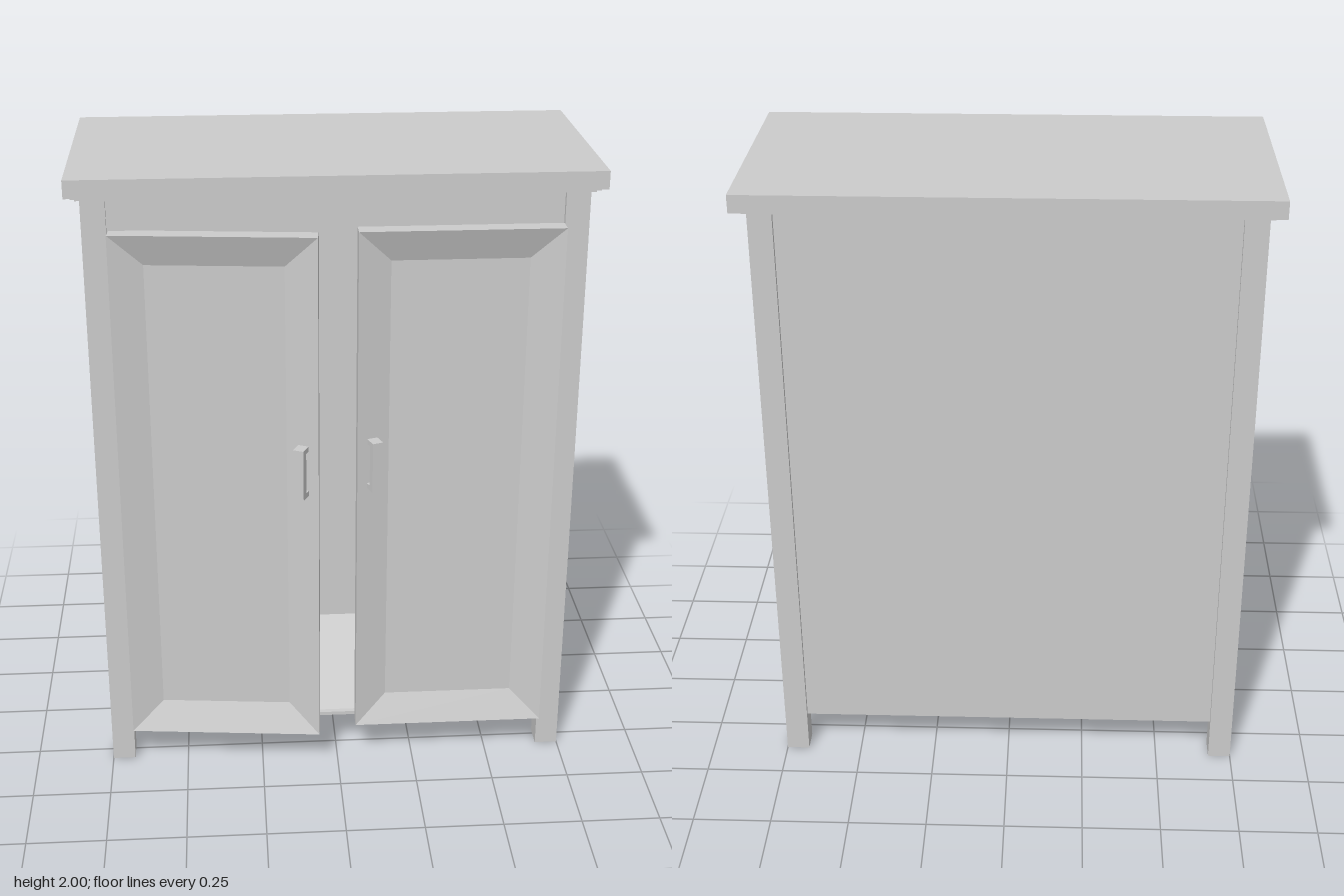
import * as THREE from 'three';

const material = new THREE.MeshStandardMaterial({ color: 0xcccccc, flatShading: true });

// Box given by its min and max corners
function box(name, x0, x1, y0, y1, z0, z1) {
  const mesh = new THREE.Mesh(new THREE.BoxGeometry(x1 - x0, y1 - y0, z1 - z0), material);
  mesh.name = name;
  mesh.position.set((x0 + x1) / 2, (y0 + y1) / 2, (z0 + z1) / 2);
  return mesh;
}

// Slab whose front face is dished by a sloping border; front rim lies at z = 0
function dishedPanel(w, h, thickness, border, depth) {
  const ring = (inset, z) => [[-1, -1], [1, -1], [1, 1], [-1, 1]]
    .map(([sx, sy]) => [sx * (w / 2 - inset), sy * (h / 2 - inset), z]);
  const rings = [ring(0, -thickness), ring(0, 0), ring(border, -depth)];
  const pts = [];
  const quad = (a, b, c, d) => pts.push(...a, ...b, ...c, ...a, ...c, ...d);
  for (let r = 0; r < 2; r++) {
    for (let i = 0; i < 4; i++) {
      const j = (i + 1) % 4;
      quad(rings[r][i], rings[r][j], rings[r + 1][j], rings[r + 1][i]);
    }
  }
  quad(...rings[2]);
  quad(...[...rings[0]].reverse());
  const geo = new THREE.BufferGeometry();
  geo.setAttribute('position', new THREE.Float32BufferAttribute(pts, 3));
  geo.computeVertexNormals();
  return geo;
}

// C-shaped pull: a bar on two feet, standing on z = 0
function createHandle() {
  const handle = new THREE.Group();
  handle.name = 'handle';
  handle.add(box('handleBar', -0.017, 0.017, -0.083, 0.083, 0.02, 0.042));
  for (const s of [-1, 1]) {
    const y = s * 0.075;
    handle.add(box('handleFoot', -0.017, 0.017, y - 0.008, y + 0.008, -0.005, 0.021));
  }
  return handle;
}

// Door hinged at its outer edge; side is +1 for the model's left
function createDoor(side, hingeZ, angle) {
  const w = 0.617, h = 1.705, border = 0.1, depth = 0.036;
  const door = new THREE.Group();
  door.name = side > 0 ? 'leftDoor' : 'rightDoor';
  const panel = new THREE.Mesh(dishedPanel(w, h, 0.055, border, depth), material);
  panel.name = 'doorPanel';
  panel.position.x = -side * w / 2;
  door.add(panel);
  // Handle sits square on the sloping border beside the free edge
  const handle = createHandle();
  const inset = 0.047;
  handle.position.set(-side * (w - inset), 0.102, -depth * inset / border);
  handle.rotation.y = side * Math.atan2(depth, border);
  door.add(handle);
  door.position.set(side * 0.677, 0.978, hingeZ);
  door.rotation.y = side * angle;
  return door;
}

export function createModel() {
  const model = new THREE.Group();
  model.name = 'cabinet';

  // Top board with stepped moulding below
  model.add(
    box('topBoard', -0.793, 0.793, 1.945, 2, -0.425, 0.348),
    box('upperMoulding', -0.775, 0.775, 1.937, 1.945, -0.405, 0.33),
    box('lowerMoulding', -0.763, 0.763, 1.93, 1.937, -0.39, 0.318)
  );

  // Legs and recessed side panels
  for (const s of [-1, 1]) {
    const [x0, x1] = s > 0 ? [0.677, 0.75] : [-0.75, -0.677];
    model.add(box('frontLeg', x0, x1, 0, 1.932, 0.232, 0.305));
    model.add(box('backLeg', x0, x1, 0, 1.932, -0.375, -0.302));
    const [p0, p1] = s > 0 ? [0.7, 0.73] : [-0.73, -0.7];
    model.add(box('sidePanel', p0, p1, 0.132, 1.93, -0.303, 0.233));
  }

  // Back, bottom and front rails
  model.add(
    box('backPanel', -0.678, 0.678, 0.132, 1.93, -0.36, -0.335),
    box('bottomPanel', -0.7, 0.7, 0.132, 0.14, -0.34, 0.285),
    box('topRail', -0.678, 0.678, 1.815, 1.925, 0.25, 0.29),
    box('bottomRail', -0.678, 0.678, 0.13, 0.142, 0.25, 0.29)
  );

  // Interior: floor rising towards an inner back wall
  const profile = new THREE.Shape([[0.28, 0.14], [-0.14, 0.27], [-0.14, 1.93], [-0.16, 1.93], [-0.16, 0.14]]
    .map(([z, y]) => new THREE.Vector2(-z, y)));
  const lining = new THREE.Mesh(
    new THREE.ExtrudeGeometry(profile, { depth: 1.4, bevelEnabled: false }), material);
  lining.name = 'innerLining';
  lining.rotation.y = Math.PI / 2;
  lining.position.x = -0.7;
  model.add(lining);

  // One door shut, the other ajar
  model.add(createDoor(1, 0.35, 0));
  model.add(createDoor(-1, 0.336, 0.1));
  return model;
}
